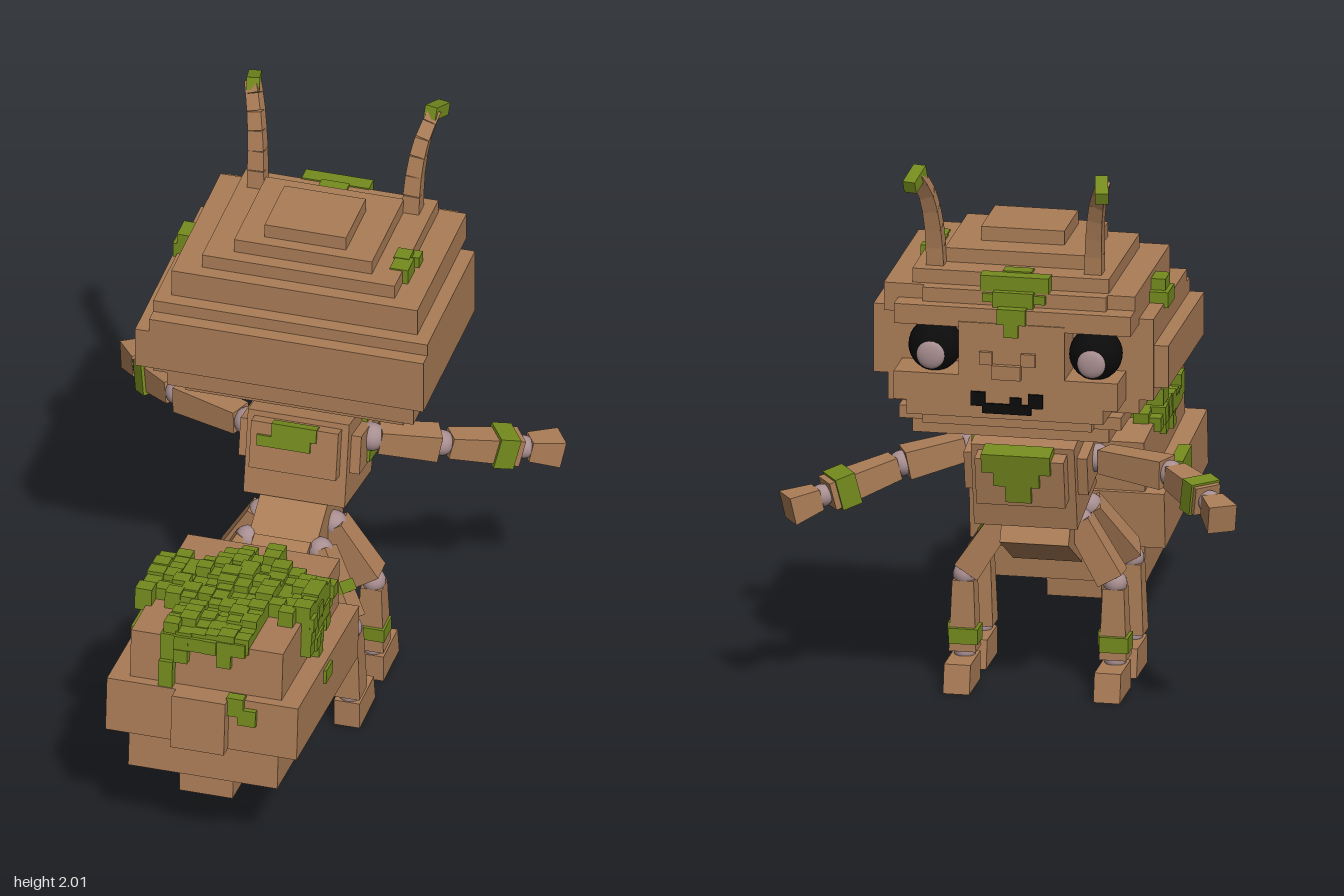
import * as THREE from 'three';
import { mergeGeometries } from 'three/addons/utils/BufferGeometryUtils.js';

const mat = (name, color) => {
  const m = new THREE.MeshStandardMaterial({ color });
  m.name = name;
  return m;
};

export function createModel() {
  const brown = mat('wood brown', 0xab7d57);
  const green = mat('moss green', 0x758b1e);
  const black = mat('black', 0x0b0b0b);
  const mauve = mat('joint mauve', 0xa88e90);
  const root = new THREE.Group();
  root.name = 'woodenAnt';
  const CX = -0.035; // body midline

  let seed = 7;
  const rand = () => (seed = (seed * 16807) % 2147483647) / 2147483647;

  const group = (name, x = 0, y = 0, z = 0, rx = 0) => {
    const g = new THREE.Group();
    g.name = name;
    g.position.set(x, y, z);
    g.rotation.x = rx;
    root.add(g);
    return g;
  };
  const add = (parent, name, geo, m) => {
    const mesh = new THREE.Mesh(geo, m);
    mesh.name = name;
    parent.add(mesh);
    return mesh;
  };
  // box geometry from its limits
  const boxGeo = ([x0, x1, y0, y1, z0, z1]) =>
    new THREE.BoxGeometry(x1 - x0, y1 - y0, z1 - z0).translate((x0 + x1) / 2, (y0 + y1) / 2, (z0 + z1) / 2);
  const boxes = (parent, name, m, list) => add(parent, name, mergeGeometries(list.map(boxGeo)), m);
  const ball = (parent, name, p, r) => {
    const b = add(parent, name, new THREE.SphereGeometry(r, 16, 12), mauve);
    b.position.set(...p);
  };
  // square bar between two points, tapering from w0 to w1
  const bar = (parent, name, a, b, w0, w1, m = brown) => {
    const A = new THREE.Vector3(...a), d = new THREE.Vector3(...b).sub(A), len = d.length();
    const geo = new THREE.BoxGeometry(1, len, 1), p = geo.attributes.position;
    for (let i = 0; i < p.count; i++) {
      const w = p.getY(i) > 0 ? w1 : w0;
      p.setX(i, p.getX(i) * w);
      p.setZ(i, p.getZ(i) * w);
    }
    geo.computeVertexNormals();
    const mesh = add(parent, name, geo, m);
    mesh.position.copy(A).addScaledVector(d, 0.5);
    // keep the bar's sides square to the ground
    const Y = d.normalize(), X = new THREE.Vector3().crossVectors(Y, new THREE.Vector3(0, 0, 1)).normalize();
    if (Math.abs(Y.y) < 0.6) X.crossVectors(Y, new THREE.Vector3(0, 1, 0)).normalize();
    const Z = new THREE.Vector3().crossVectors(X, Y);
    mesh.quaternion.setFromRotationMatrix(new THREE.Matrix4().makeBasis(X, Y, Z));
  };
  const lerp = (a, b, t) => a.map((v, i) => v + (b[i] - v) * t);

  // Head: stacked slabs with a stepped face
  const head = group('head');
  boxes(head, 'headSlabs', brown, [
    [-0.175, 0.115, 1.685, 1.735, -0.62, -0.375],
    [-0.27, 0.22, 1.635, 1.685, -0.725, -0.33],
    [-0.37, 0.315, 1.585, 1.635, -0.82, -0.28],
    [-0.465, 0.41, 1.485, 1.585, -0.84, -0.23],
    [-0.515, 0.46, 1.24, 1.485, -0.77, -0.18],
    [-0.515, 0.46, 1.24, 1.44, -0.77, -0.13],
    [-0.565, -0.515, 1.24, 1.39, -0.76, -0.13],
    [-0.515, 0.41, 1.195, 1.24, -0.77, -0.18],
    [-0.465, 0.41, 1.145, 1.195, -0.77, -0.18],
    [-0.415, 0.36, 1.1, 1.145, -0.83, -0.23],
    [-0.37, 0.315, 1.05, 1.1, -0.82, -0.33],
  ]);
  boxes(head, 'face', brown, [
    [-0.235, 0.135, 1.24, 1.485, -0.92, -0.77],
    [-0.42, 0.36, 1.195, 1.295, -0.92, -0.77],
    [-0.37, 0.315, 1.145, 1.195, -0.92, -0.77],
    [-0.32, 0.27, 1.1, 1.145, -0.87, -0.77],
    [-0.465, 0.36, 1.465, 1.535, -0.915, -0.77],
    [-0.37, 0.27, 1.535, 1.585, -0.87, -0.77],
  ]);
  boxes(head, 'nose', brown, [
    [-0.085, 0.015, 1.29, 1.34, -0.94, -0.92],
    [-0.135, -0.085, 1.34, 1.385, -0.935, -0.92],
    [0.015, 0.06, 1.34, 1.385, -0.935, -0.92],
  ]);
  boxes(head, 'mouth', black, [
    [-0.16, -0.11, 1.19, 1.24, -0.929, -0.92],
    [0.04, 0.09, 1.19, 1.24, -0.929, -0.92],
    [-0.12, 0.05, 1.165, 1.2, -0.929, -0.92],
    [-0.085, -0.045, 1.2, 1.225, -0.929, -0.92],
  ]);
  boxes(head, 'foreheadMoss', green, [
    [-0.17, 0.07, 1.585, 1.64, -0.87, -0.815],
    [-0.1, 0, 1.635, 1.645, -0.82, -0.77],
    [-0.12, 0.02, 1.535, 1.59, -0.895, -0.83],
    [-0.16, 0.06, 1.55, 1.58, -0.885, -0.83],
    [-0.1, 0, 1.485, 1.54, -0.93, -0.86],
    [-0.075, -0.025, 1.44, 1.49, -0.93, -0.9],
  ]);
  boxes(head, 'headMoss', green, [
    [-0.53, -0.46, 1.47, 1.525, -0.585, -0.475],
    [-0.515, -0.46, 1.52, 1.565, -0.56, -0.475],
    [0.27, 0.335, 1.585, 1.64, -0.455, -0.375],
    [0.265, 0.32, 1.6, 1.642, -0.5, -0.44],
    [0.3, 0.345, 1.585, 1.625, -0.525, -0.48],
    [-0.52, -0.46, 1.13, 1.19, -0.62, -0.52],
  ]);
  for (const x of [-0.33, 0.23]) {
    const eye = add(head, 'eye', new THREE.SphereGeometry(0.092, 24, 16), black);
    eye.position.set(x, 1.377, -0.845);
    const pupil = add(head, 'pupil', new THREE.SphereGeometry(0.05, 16, 12), mauve);
    pupil.scale.z = 0.35;
    pupil.position.set(x, 1.362, -0.928);
  }

  // Antennae: curved chains of bars with mossy tips
  for (const s of [-1, 1]) {
    const c = x => -0.03 + s * x;
    const pts = [[0.275, 1.62, -0.745], [0.277, 1.7, -0.75], [0.28, 1.77, -0.762], [0.287, 1.84, -0.778],
      [0.297, 1.9, -0.8], [0.312, 1.95, -0.83], [0.325, 1.985, -0.855]].map(([x, y, z]) => [c(x), y, z]);
    for (let i = 0; i < pts.length - 1; i++)
      bar(head, 'antennaSegment', pts[i], pts[i + 1], 0.062 - i * 0.003, 0.059 - i * 0.003);
    bar(head, 'antennaTip', [c(0.315), 1.99, -0.825], [c(0.335), 1.955, -0.92], 0.045, 0.045, green);
  }

  // Neck and torso, leaning forward
  const torso = group('torso', -0.03, 0.835, -0.43, -0.19);
  boxes(torso, 'chest', brown, [
    [-0.18, 0.18, -0.155, 0.155, -0.17, 0.17],
    [-0.155, 0.155, -0.04, 0.135, -0.235, 0.215],
    [-0.215, 0.215, -0.04, 0.1, -0.13, 0.13],
  ]);
  boxes(torso, 'neck', brown, [[-0.09, 0.09, 0.15, 0.23, -0.1, 0.05]]);
  boxes(torso, 'chestMoss', green, [
    [-0.11, 0.13, 0.09, 0.16, -0.25, -0.17],
    [-0.07, 0.09, 0.04, 0.09, -0.25, -0.22],
    [-0.04, 0.05, -0.02, 0.04, -0.25, -0.22],
    [-0.08, 0.08, 0.09, 0.14, 0.19, 0.225],
    [-0.13, 0.06, 0.05, 0.09, 0.2, 0.225],
    [0.15, 0.2, 0.09, 0.16, -0.06, 0.0],
    [0.18, 0.225, -0.03, 0.04, -0.06, 0.04],
  ]);

  // Waist links
  boxes(group('upperWaist', CX, 0.585, -0.27, 0.5), 'upperWaistBlock', brown, [[-0.12, 0.12, -0.115, 0.115, -0.14, 0.13]]);
  boxes(group('lowerWaist', CX, 0.5, -0.02, 0.32), 'lowerWaistBlock', brown, [[-0.1, 0.1, -0.1, 0.1, -0.13, 0.14]]);

  // Abdomen: tilted stack of slabs
  const abdomen = group('abdomen', CX, 0.51, 0.51, -0.095);
  boxes(abdomen, 'abdomenSlabs', brown, [
    [-0.27, 0.27, 0.1, 0.28, -0.365, 0.34],
    [-0.34, 0.34, -0.1, 0.1, -0.38, 0.38],
    [-0.265, 0.265, -0.245, -0.1, -0.36, 0.345],
    [-0.095, 0.095, -0.34, -0.245, -0.285, 0.295],
    [-0.095, 0.095, -0.1, 0.1, 0.38, 0.43],
  ]);

  // Moss carpet on the abdomen, with ragged drapes
  const moss = [], s = 0.05;
  for (let x = -0.3; x < 0.29; x += s)
    for (let z = -0.35; z < 0.34; z += s) {
      const ax = Math.abs(x + s / 2), edge = (rand() - 0.5) * 0.07;
      const strip = ax < 0.15 && z > -0.33 + edge + ax * 0.6;
      const cross = ax < 0.31 && Math.abs(z + 0.03) < 0.15 + edge;
      if (!strip && !cross) continue;
      const h = 0.3 + rand() * 0.045, j = rand() * 0.012;
      moss.push([x - j, x + s, 0.26, h, z, z + s + j]);
    }
  const drape = (len, place) => {
    for (let i = 0; i < len; i++) {
      const d = 0.04 + rand() * 0.025, y = 0.3 - i * s;
      moss.push(place(y - s, y, d));
    }
  };
  [2, 3, 4, 4, 3, 3].forEach((n, i) => {
    const z = -0.19 + i * s;
    drape(n, (a, b, d) => [0.25, 0.25 + d, a, b, z, z + s]);
    drape(Math.max(1, n - 2), (a, b, d) => [-0.25 - d, -0.25, a, b, z, z + s]);
  });
  [4, 2, 1, 1, 2, 1].forEach((n, i) => {
    const x = -0.16 + i * s;
    drape(n, (a, b, d) => [x, x + s, a, b, 0.32, 0.32 + d]);
  });
  boxes(abdomen, 'abdomenMoss', green, moss.concat([
    [-0.355, -0.31, 0.03, 0.115, -0.12, 0.03],
    [0.31, 0.35, 0.03, 0.08, -0.02, 0.06],
    [0.09, 0.15, 0.04, 0.11, 0.36, 0.4],
    [0.13, 0.195, 0.01, 0.07, 0.36, 0.4],
  ]));

  // Legs: two pairs with ball joints
  for (const side of [-1, 1])
    for (const [footZ, hipZ, mossy] of [[-0.01, -0.13, false], [-0.305, -0.3, true]]) {
      const leg = group(mossy ? 'foreLeg' : 'hindLeg');
      const x = -0.028 + side * 0.262, hip = [CX + side * 0.13, 0.6, hipZ], knee = [x, 0.385, footZ];
      ball(leg, 'hipJoint', hip, 0.045);
      bar(leg, 'thigh', hip, lerp(hip, knee, 0.92), 0.085, 0.095);
      ball(leg, 'kneeJoint', knee, 0.042);
      bar(leg, 'shin', [x, 0.12, footZ], [x, 0.37, footZ], 0.095, 0.075);
      ball(leg, 'ankleJoint', [x, 0.11, footZ], 0.038);
      const toe = new THREE.Shape([[0.04, 0], [-0.155, 0], [-0.135, 0.1], [0.04, 0.1]].map(p => new THREE.Vector2(-p[0], p[1])));
      const foot = add(leg, 'foot', new THREE.ExtrudeGeometry(toe, { depth: 0.092, bevelEnabled: false }), brown);
      foot.geometry.translate(0, 0, -0.046).rotateY(Math.PI / 2);
      foot.position.set(x, 0, footZ);
      if (mossy) boxes(leg, 'legMoss', green, [
        [x - 0.056, x + 0.045, 0.15, 0.205, footZ - 0.06, footZ + 0.03],
        [x - 0.03, x + 0.052, 0.17, 0.22, footZ - 0.04, footZ + 0.055],
      ]);
      else if (side > 0) bar(leg, 'thighMoss', lerp(hip, knee, 0.45), lerp(hip, knee, 0.6), 0.1, 0.1, green);
    }

  // Arms: reaching forward and outward
  const arms = [
    [[-0.25, 0.87, -0.43], [-0.53, 0.865, -0.54], [-0.7, 0.825, -0.71], [-0.765, 0.8, -0.82]],
    [[0.19, 0.89, -0.43], [0.41, 0.84, -0.53], [0.655, 0.76, -0.695], [0.76, 0.73, -0.765]],
  ];
  for (const [shoulder, elbow, wrist, hand] of arms) {
    const arm = group('arm');
    ball(arm, 'shoulderJoint', shoulder, 0.05);
    bar(arm, 'upperArm', lerp(shoulder, elbow, 0.1), lerp(shoulder, elbow, 0.95), 0.085, 0.1);
    ball(arm, 'elbowJoint', elbow, 0.045);
    bar(arm, 'forearm', lerp(elbow, wrist, 0.08), lerp(elbow, wrist, 0.93), 0.08, 0.1);
    bar(arm, 'armMoss', lerp(elbow, wrist, 0.62), lerp(elbow, wrist, 0.86), 0.115, 0.115, green);
    ball(arm, 'wristJoint', wrist, 0.04);
    bar(arm, 'hand', lerp(wrist, hand, 0.12), hand, 0.075, 0.1);
  }

  return root;
}
